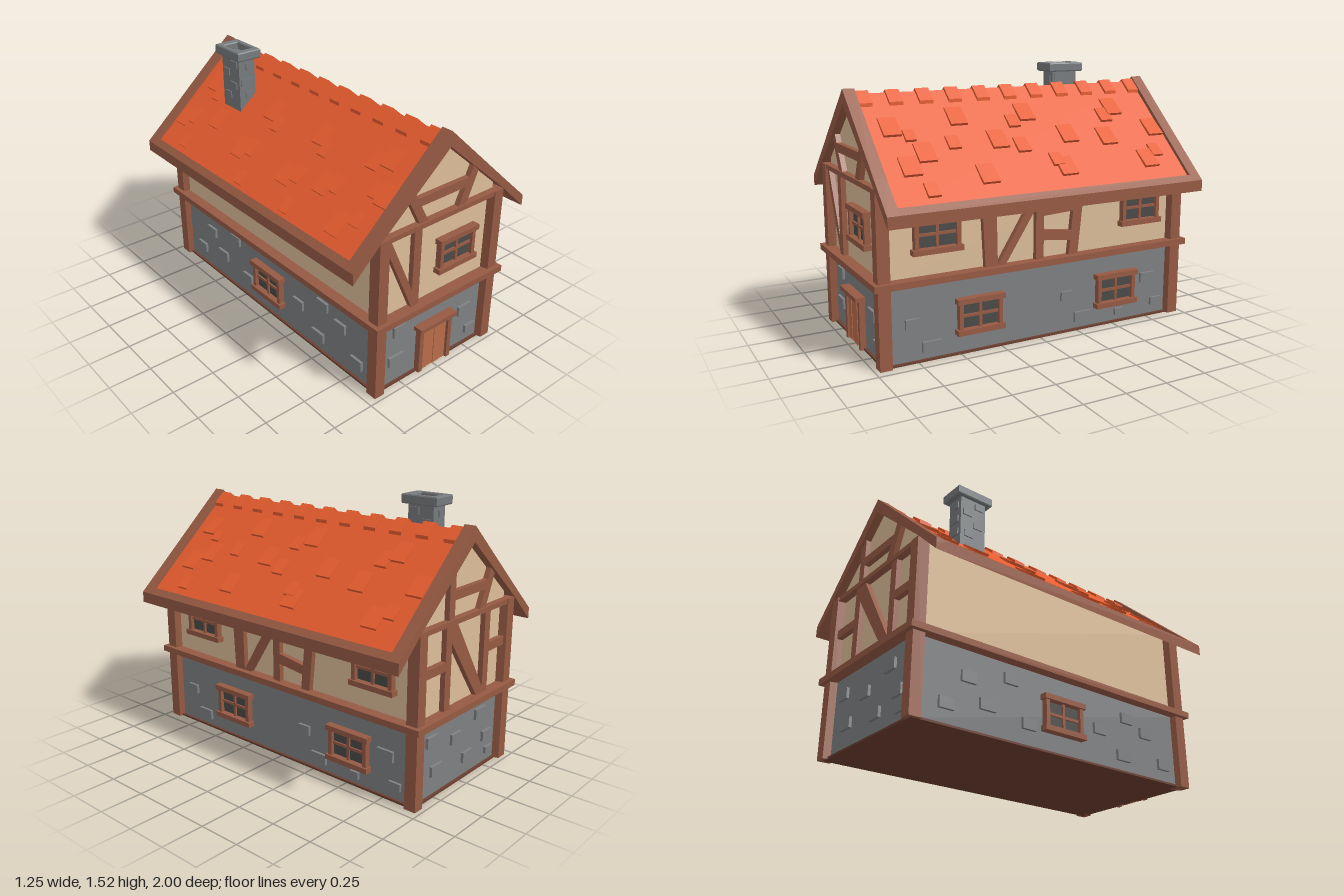
import * as THREE from 'three';

const mat = (color) => new THREE.MeshStandardMaterial({ color, flatShading: true });
const WOOD = mat(0x965a43), CREAM = mat(0xdcbd98), STONE = mat(0x7e8082), TILE = mat(0xe65c2e);
const PLANK = mat(0xba6c4a), GLASS = mat(0x4a4a48), CHIMNEY = mat(0x767a7d), FLOOR = mat(0x6b3f30);

function add(parent, name, geometry, material) {
  const mesh = new THREE.Mesh(geometry, material);
  mesh.name = name;
  parent.add(mesh);
  return mesh;
}

// Box given by its limits on each axis
function box(parent, name, m, x0, x1, y0, y1, z0, z1) {
  const mesh = add(parent, name, new THREE.BoxGeometry(x1 - x0, y1 - y0, z1 - z0), m);
  mesh.position.set((x0 + x1) / 2, (y0 + y1) / 2, (z0 + z1) / 2);
  return mesh;
}

// Polygon extruded from z0 to z1
function prism(parent, name, m, pts, z0, z1) {
  const shape = new THREE.Shape(pts.map(([x, y]) => new THREE.Vector2(x, y)));
  const geo = new THREE.ExtrudeGeometry(shape, { depth: z1 - z0, bevelEnabled: false });
  geo.translate(0, 0, z0);
  return add(parent, name, geo, m);
}

// Symmetric outline from its right half (listed top first, ending at the lower centre)
const mirrored = (half) => [...half, ...half.slice(1, -1).reverse().map(([x, y]) => [-x, y])];

// Wall frame: local x along the wall, y up, z outwards from the wall surface
function wallGroup(parent, name, angle, distance) {
  const g = new THREE.Group();
  g.name = name;
  g.rotation.y = angle;
  g.position.set(Math.sin(angle) * distance, 0, Math.cos(angle) * distance);
  parent.add(g);
  return g;
}

const timber = (wall, ...pts) => prism(wall, 'timber', WOOD, pts, -0.01, 0.025);

function stones(wall, list) {
  for (const [u, v, w = 0.09, h = 0.06] of list)
    box(wall, 'wallStone', STONE, u - w / 2, u + w / 2, v - h / 2, v + h / 2, -0.01, 0.016);
}

// Four-pane window with lintel and sill
function windowUnit(wall, u, v) {
  const g = new THREE.Group();
  g.name = 'window';
  g.position.set(u, v, 0);
  wall.add(g);
  box(g, 'glass', GLASS, -0.12, 0.12, -0.07, 0.07, 0, 0.012);
  for (const s of [-1, 1]) {
    box(g, 'jamb', WOOD, s * 0.12 - 0.012, s * 0.12 + 0.012, -0.075, 0.075, 0, 0.035);
    box(g, s > 0 ? 'lintel' : 'sill', WOOD, -0.145, 0.145, s * 0.088 - 0.015, s * 0.088 + 0.015, 0, 0.045);
  }
  box(g, 'mullion', WOOD, -0.008, 0.008, -0.073, 0.073, 0, 0.024);
  box(g, 'crossbar', WOOD, -0.12, 0.12, -0.008, 0.008, 0, 0.022);
}

function buildBody(root) {
  box(root, 'floor', FLOOR, -0.43, 0.43, 0, 0.012, -0.95, 0.95);
  box(root, 'stoneWalls', STONE, -0.415, 0.415, 0.005, 0.45, -0.935, 0.935);
  prism(root, 'plasterWalls', CREAM,
    mirrored([[0, 1.36], [0.41, 1.01], [0.41, 0.45], [0, 0.45]]), -0.93, 0.93);
  box(root, 'beltBeam', WOOD, -0.475, 0.475, 0.438, 0.474, -1, 1);
  // Corner posts with slanted inner cheeks
  for (const sx of [-1, 1]) for (const sz of [-1, 1]) {
    const p = [[0.45, 0.975], [0.385, 0.975], [0.37, 0.92], [0.37, 0.89], [0.4, 0.89], [0.45, 0.905]];
    const post = prism(root, 'cornerPost', WOOD, p.map(([x, z]) => [x * sx, -z * sz]), 0, 0.965);
    post.rotation.x = -Math.PI / 2;
  }
}

function buildFront(root) {
  const w = wallGroup(root, 'frontWall', 0, 0.935);
  box(w, 'tieBeam', WOOD, -0.45, 0.45, 0.938, 0.966, -0.01, 0.035);
  timber(w, [-0.2, 0.47], [-0.148, 0.47], [-0.148, 0.94], [-0.2, 0.94]);
  timber(w, [-0.37, 0.85], [-0.2, 0.475], [-0.2, 0.58], [-0.365, 0.94], [-0.385, 0.94]);
  timber(w, [-0.21, 1.065], [0.21, 1.065], [0.21, 1.115], [-0.21, 1.115]);
  timber(w, [-0.255, 1.125], [-0.17, 0.965], [-0.11, 0.965], [-0.22, 1.165]);
  timber(w, [0.245, 1.14], [0.205, 1.175], [0.11, 0.965], [0.17, 0.965]);
  windowUnit(w, 0.125, 0.708);
  stones(w, [[-0.26, 0.343, 0.085, 0.065], [-0.277, 0.157, 0.105], [0.25, 0.247, 0.1], [0.31, 0.092, 0.08, 0.05]]);
  // Plank door
  for (const s of [-1, 1]) box(w, 'doorJamb', WOOD, s * 0.109 - 0.014, s * 0.109 + 0.014, 0, 0.285, 0, 0.035);
  for (let i = 0; i < 4; i++)
    box(w, 'doorPlank', PLANK, -0.095 + i * 0.0475, -0.049 + i * 0.0475, 0, 0.285, 0, i % 2 ? 0.02 : 0.023);
  box(w, 'doorLintel', WOOD, -0.14, 0.137, 0.283, 0.308, 0, 0.057);
}

function buildBack(root) {
  const w = wallGroup(root, 'backWall', Math.PI, 0.935);
  box(w, 'tieBeam', WOOD, -0.45, 0.45, 0.938, 0.966, -0.01, 0.035);
  for (const u of [-0.17, 0.2]) timber(w, [u - 0.026, 0.47], [u + 0.026, 0.47], [u + 0.026, 0.94], [u - 0.026, 0.94]);
  timber(w, [-0.145, 0.94], [-0.145, 0.84], [0.12, 0.47], [0.175, 0.47], [0.175, 0.51], [-0.1, 0.94]);
  for (const [a, b] of [[-0.39, -0.19], [0.22, 0.39]]) timber(w, [a, 0.7], [b, 0.7], [b, 0.75], [a, 0.75]);
  timber(w, [-0.18, 0.96], [-0.13, 0.96], [-0.13, 1.23], [-0.18, 1.19]);
  timber(w, [-0.15, 1.065], [0.21, 1.065], [0.21, 1.115], [-0.15, 1.115]);
  timber(w, [0.245, 1.14], [0.205, 1.175], [0.11, 0.965], [0.17, 0.965]);
  stones(w, [[-0.27, 0.33], [-0.22, 0.15, 0.1], [-0.04, 0.27], [0.08, 0.12], [0.2, 0.34, 0.1], [0.28, 0.18], [0.31, 0.08, 0.07, 0.04]]);
}

function buildSides(root) {
  // Right-hand elevation: local x runs towards the back
  const r = wallGroup(root, 'leftWall', Math.PI / 2, 0.415);
  for (const [u, v] of [[-0.635, 0.7], [0.675, 0.7], [-0.385, 0.218], [0.515, 0.218]]) windowUnit(r, u, v);
  timber(r, [-0.355, 0.47], [-0.28, 0.47], [-0.29, 0.95], [-0.38, 0.95]);
  timber(r, [-0.285, 0.47], [-0.235, 0.47], [-0.04, 0.77], [-0.04, 0.86]);
  timber(r, [-0.04, 0.47], [0.01, 0.47], [0.01, 0.95], [-0.04, 0.95]);
  timber(r, [0.175, 0.47], [0.235, 0.47], [0.285, 0.95], [0.225, 0.95]);
  timber(r, [0.01, 0.72], [0.21, 0.73], [0.215, 0.785], [0.01, 0.765]);
  timber(r, [0.01, 0.58], [0.185, 0.56], [0.19, 0.615], [0.01, 0.64]);
  stones(r, [[-0.78, 0.222, 0.08, 0.055], [-0.67, 0.08, 0.11], [0.18, 0.222, 0.08, 0.055], [0.29, 0.08, 0.11],
    [0.757, 0.25, 0.105], [0.55, 0.065, 0.06, 0.04], [0.823, 0.09, 0.075, 0.045]]);
  // Opposite elevation: a single window and scattered stones
  const l = wallGroup(root, 'rightWall', -Math.PI / 2, 0.415);
  windowUnit(l, 0, 0.218);
  stones(l, [[-0.75, 0.12], [-0.62, 0.29], [-0.5, 0.17, 0.1], [-0.35, 0.35], [-0.23, 0.13],
    [0.28, 0.22], [0.46, 0.1, 0.1], [0.5, 0.33], [0.65, 0.27], [0.79, 0.11]]);
}

function buildRoof(root) {
  const roof = new THREE.Group();
  roof.name = 'roof';
  root.add(roof);
  prism(roof, 'roofSlab', TILE,
    mirrored([[0, 1.4], [0.595, 0.868], [0.595, 0.835], [0.45, 0.972], [0, 1.352]]), -0.92, 0.92);
  for (const z of [-0.978, 0.91])
    prism(roof, 'bargeboard', WOOD, mirrored([[0, 1.43], [0.45, 1.022], [0.625, 0.865], [0.625, 0.8], [0.45, 0.965], [0, 1.345]]), z, z + 0.067);
  for (const s of [-1, 1])
    prism(roof, 'eaveBeam', WOOD, [[0.59, 0.896], [0.625, 0.865], [0.625, 0.8], [0.59, 0.833]].map(([x, y]) => [s * x, y]), -0.975, 0.975);
  for (let i = 0; i < 11; i++) {
    const z = -0.875 + i * 0.175;
    prism(roof, 'ridgeTile', TILE,
      mirrored([[0, 1.417], [0.072, 1.355], [0.072, 1.325], [0, 1.385]]), z - 0.04, z + 0.04);
  }
  // Loose raised tiles: x, z, width
  const tiles = [
    [0.29, -0.85, 0.1], [0.46, -0.70, 0.1], [0.42, -0.78, 0.07], [0.155, -0.64, 0.1], [0.2, -0.56, 0.08], [0.32, -0.5, 0.1],
    [0.29, -0.25, 0.1], [0.46, -0.14, 0.1], [0.42, -0.1, 0.07], [0.155, -0.04, 0.1], [0.2, 0.06, 0.07], [0.33, 0.07, 0.08],
    [0.29, 0.2, 0.1], [0.46, 0.35, 0.1], [0.155, 0.39, 0.1], [0.29, 0.47, 0.07], [0.33, 0.65, 0.1], [0.24, 0.7, 0.06],
    [0.51, 0.69, 0.07], [0.19, 0.79, 0.1], [0.39, 0.76, 0.1],
    [-0.42, -0.83, 0.1], [-0.4, -0.76, 0.08], [-0.52, -0.68, 0.07], [-0.21, -0.78, 0.1], [-0.26, -0.7, 0.07], [-0.36, -0.55, 0.1],
    [-0.42, -0.23, 0.1], [-0.4, -0.16, 0.08], [-0.53, -0.08, 0.07], [-0.21, -0.18, 0.1], [-0.26, -0.1, 0.07],
    [-0.42, 0.2, 0.1], [-0.4, 0.27, 0.08], [-0.53, 0.34, 0.07], [-0.21, 0.26, 0.1], [-0.26, 0.33, 0.07],
    [-0.38, 0.47, 0.1], [-0.36, 0.54, 0.08], [-0.49, 0.7, 0.1], [-0.21, 0.67, 0.08], [-0.17, 0.76, 0.1],
    [-0.31, 0.86, 0.1], [-0.31, 0.79, 0.07], [-0.44, 0.79, 0.06],
  ];
  for (const [x, z, size] of tiles) {
    const tile = add(roof, 'raisedTile', new THREE.BoxGeometry(size * 1.3, 0.016, size), TILE);
    tile.position.set(x, 1.407 - 0.895 * Math.abs(x), z);
    tile.rotation.z = -Math.sign(x) * 0.66;
  }
}

function buildChimney(root) {
  const g = new THREE.Group();
  g.name = 'chimney';
  g.position.set(-0.228, 0, -0.518);
  root.add(g);
  box(g, 'shaft', CHIMNEY, -0.055, 0.055, 1.1, 1.475, -0.085, 0.085);
  // Hollow cap
  const cap = new THREE.Shape([[-0.078, -0.118], [0.078, -0.118], [0.078, 0.118], [-0.078, 0.118]].map((p) => new THREE.Vector2(...p)));
  cap.holes.push(new THREE.Path([[-0.048, -0.072], [-0.048, 0.072], [0.048, 0.072], [0.048, -0.072]].map((p) => new THREE.Vector2(...p))));
  const rim = add(g, 'cap', new THREE.ExtrudeGeometry(cap, { depth: 0.04, bevelEnabled: true, bevelThickness: 0.007, bevelSize: 0.004, bevelOffset: -0.004, bevelSegments: 1 }), CHIMNEY);
  rim.rotation.x = -Math.PI / 2;
  rim.position.y = 1.472;
  // Raised bricks on each face
  for (const s of [-1, 1]) {
    for (const [x, y, w] of [[0.012, 1.418, 0.04], [-0.005, 1.325, 0.08], [0.01, 1.24, 0.05]])
      box(g, 'chimneyBrick', CHIMNEY, s * x - w / 2, s * x + w / 2, y - 0.02, y + 0.02, s * 0.085 - 0.007, s * 0.085 + 0.007);
    for (const [z, y] of [[0.04, 1.43], [-0.04, 1.37], [0.03, 1.3], [-0.03, 1.23]])
      box(g, 'chimneyBrick', CHIMNEY, s * 0.055 - 0.007, s * 0.055 + 0.007, y - 0.02, y + 0.02, z - 0.03, z + 0.03);
  }
}

export function createModel() {
  const root = new THREE.Group();
  root.name = 'timberFramedHouse';
  for (const build of [buildBody, buildFront, buildBack, buildSides, buildRoof, buildChimney]) build(root);
  return root;
}
